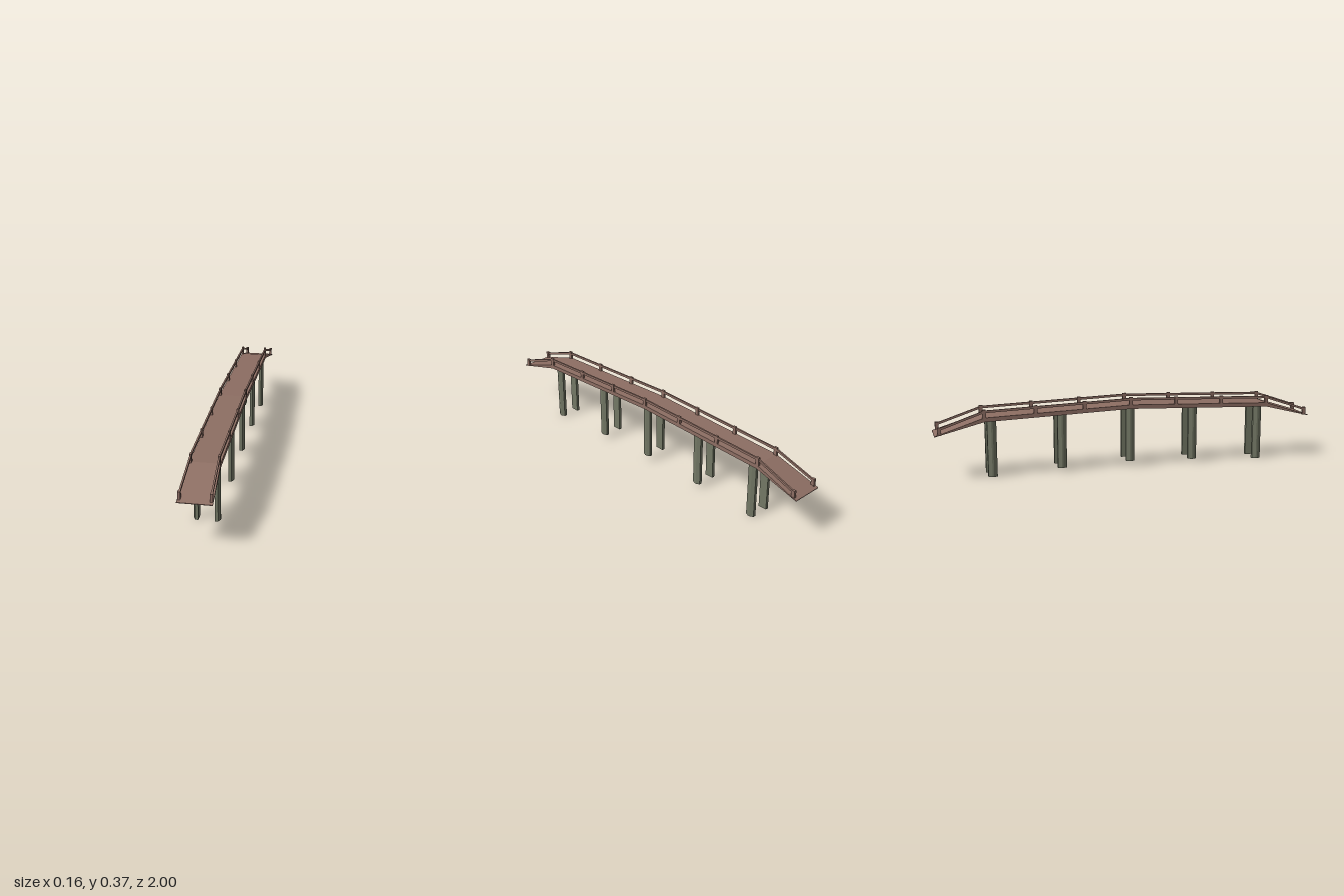
import * as THREE from 'three';

const wood = new THREE.MeshStandardMaterial({ color: 0x8d6e63 });
wood.name = 'brown wood';
const pile = new THREE.MeshStandardMaterial({ color: 0x737865 });
pile.name = 'grey green pile';

// Joins rectangular sections {z, x, w, top, bottom}, listed from back to front
function loft(sections) {
  const rings = sections.map(({ z, x = 0, w, top, bottom }) => [
    [x - w, bottom, z], [x + w, bottom, z], [x + w, top, z], [x - w, top, z],
  ]);
  const pos = [];
  const quad = (a, b, c, d) => [a, b, c, a, c, d].forEach((p) => pos.push(...p));
  for (let s = 0; s < rings.length - 1; s++) {
    const r = rings[s], n = rings[s + 1];
    for (let i = 0; i < 4; i++) {
      const j = (i + 1) % 4;
      quad(r[i], r[j], n[j], n[i]);
    }
  }
  quad(...[...rings[0]].reverse());
  quad(...rings[rings.length - 1]);
  const geo = new THREE.BufferGeometry();
  geo.setAttribute('position', new THREE.Float32BufferAttribute(pos, 3));
  geo.computeVertexNormals();
  return geo;
}

// Piecewise linear height along the bridge, mirrored front to back
function along(points, z) {
  const d = Math.abs(z);
  for (let i = 1; i < points.length; i++) {
    const [a, ya] = points[i - 1], [b, yb] = points[i];
    if (d <= b) return ya + ((yb - ya) * (d - a)) / (b - a);
  }
  return points[points.length - 1][1];
}
const deckTop = [[0, 0.333], [0.755, 0.306], [1, 0.228]];
const deckBottom = [[0, 0.312], [0.755, 0.285], [1, 0.225]];
const halfWidth = [[0, 0.071], [0.755, 0.071], [1, 0.081]];
const railMiddle = [[0, 0.362], [0.755, 0.336], [0.976, 0.261]];
const railX = [[0, 0.0655], [0.755, 0.0655], [0.976, 0.0715]];

export function createModel() {
  const group = new THREE.Group();
  const add = (name, geo, mat) => {
    const mesh = new THREE.Mesh(geo, mat);
    mesh.name = name;
    group.add(mesh);
    return mesh;
  };

  // Arched deck with flared end ramps
  add('deck', loft([-1, -0.755, 0, 0.755, 1].map((z) => ({
    z, w: along(halfWidth, z), top: along(deckTop, z), bottom: along(deckBottom, z),
  }))), wood);

  // Handrails and their posts
  const postZ = [-0.976, -0.755, -0.497, -0.245, 0, 0.245, 0.497, 0.755, 0.976];
  for (const side of [1, -1]) {
    const name = side > 0 ? 'left' : 'right';
    add(name + 'Handrail', loft(postZ.map((z) => {
      const y = along(railMiddle, z);
      return { z, x: side * along(railX, z), w: 0.004, top: y + 0.006, bottom: y - 0.006 };
    })), wood);
    for (const z of postZ) {
      const top = along(railMiddle, z) + 0.01;
      const bottom = along(deckTop, z) - 0.006;
      const w = Math.abs(z) > 0.9 ? 0.013 : 0.011;
      const post = add(name + 'Post', new THREE.BoxGeometry(w, top - bottom, 0.018), wood);
      post.position.set(side * along(railX, z), (top + bottom) / 2, z);
    }
  }

  // Paired piles, chamfered on their outer side
  const piles = [[0.71, 0], [0.342, 0.022], [0, 0.033], [-0.361, 0.022], [-0.717, 0]];
  for (const side of [1, -1]) {
    for (const [z, foot] of piles) {
      const outline = [[0.039, -0.023], [0.054, -0.023], [0.063, -0.004],
        [0.063, 0.004], [0.054, 0.023], [0.039, 0.023]];
      const shape = new THREE.Shape(outline.map(([x, y]) => new THREE.Vector2(side * x, y)));
      const depth = along(deckBottom, z) + 0.006 - foot;
      const geo = new THREE.ExtrudeGeometry(shape, { depth, bevelEnabled: false });
      geo.rotateX(-Math.PI / 2);
      add(side > 0 ? 'leftPile' : 'rightPile', geo, pile).position.set(0, foot, z);
    }
  }
  return group;
}
